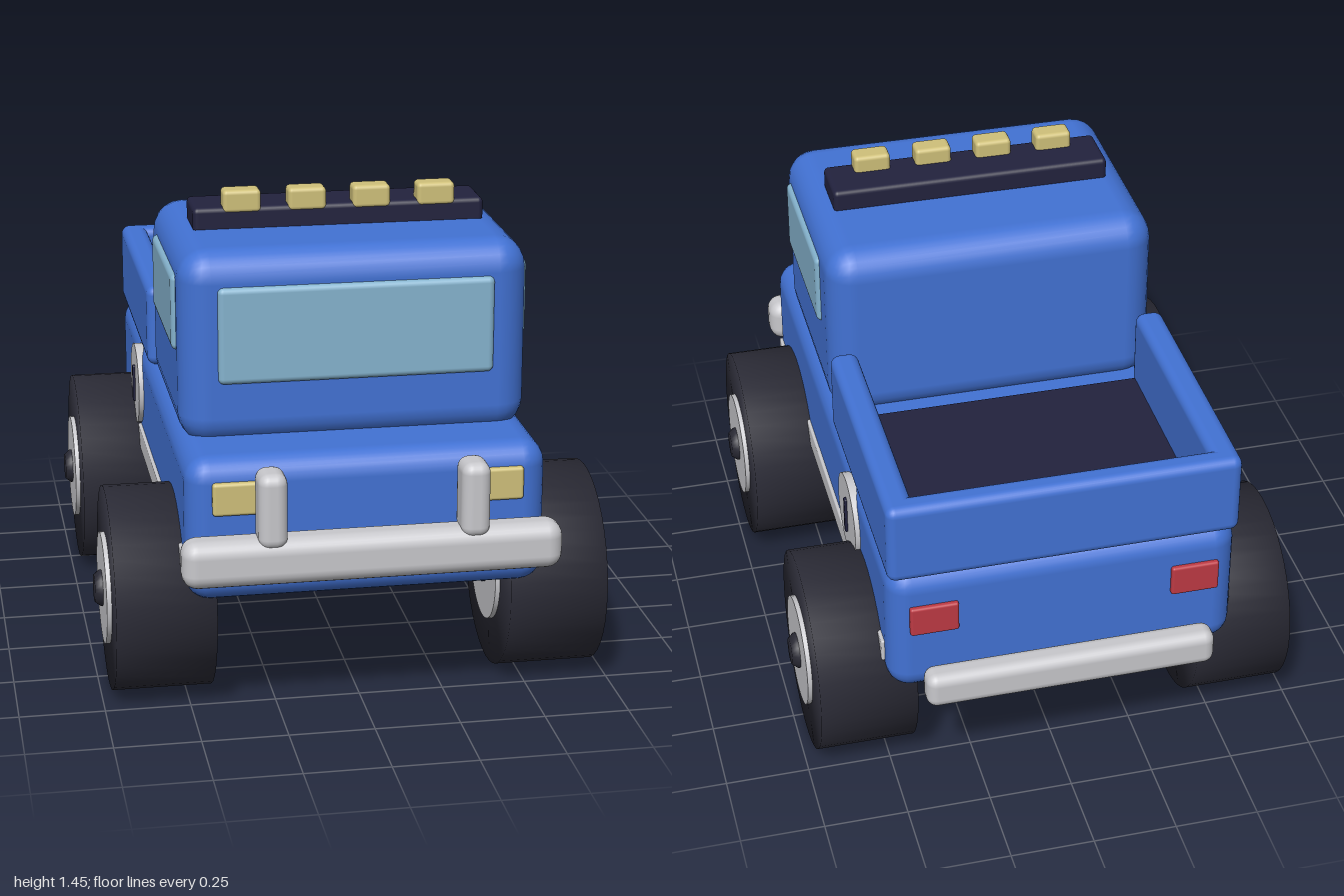
import * as THREE from 'three';
import { mergeVertices } from 'three/addons/utils/BufferGeometryUtils.js';
import { RoundedBoxGeometry } from 'three/addons/geometries/RoundedBoxGeometry.js';

function material(name, color) {
  const m = new THREE.MeshStandardMaterial({ color });
  m.name = name;
  return m;
}

export function createModel() {
  const truck = new THREE.Group();
  truck.name = 'pickupTruck';

  const blue = material('bodyBlue', 0x4272d4);
  const grey = material('lightGrey', 0xc8c8cc);
  const navy = material('darkNavy', 0x22223e);
  const rubber = material('tyreRubber', 0x2b2b36);
  const glass = material('windowBlue', 0x85b3ce);
  const yellow = material('lampYellow', 0xcfc07a);
  const red = material('tailRed', 0xbe3a44);

  // Rounded block given by its limits on each axis
  function block(name, mat, [x0, x1], [y0, y1], [z0, z1], radius) {
    const geo = new RoundedBoxGeometry(x1 - x0, y1 - y0, z1 - z0, 3, radius);
    const mesh = new THREE.Mesh(geo, mat);
    mesh.position.set((x0 + x1) / 2, (y0 + y1) / 2, (z0 + z1) / 2);
    mesh.name = name;
    truck.add(mesh);
    return mesh;
  }

  // The same block on both sides
  function pair(name, mat, [x0, x1], y, z, radius) {
    block(name + 'Left', mat, [x0, x1], y, z, radius);
    block(name + 'Right', mat, [-x1, -x0], y, z, radius);
  }

  // Cylinder lying along x
  function disc(name, mat, radius, x0, x1, y, z, parent) {
    const geo = new THREE.CylinderGeometry(radius, radius, x1 - x0, 40);
    geo.rotateZ(Math.PI / 2);
    const mesh = new THREE.Mesh(geo, mat);
    mesh.position.set((x0 + x1) / 2, y, z);
    mesh.name = name;
    parent.add(mesh);
    return mesh;
  }

  // Body and cab
  block('chassisBody', blue, [-0.52, 0.52], [0.365, 0.795], [-0.895, 0.885], 0.07);
  block('cab', blue, [-0.507, 0.507], [0.76, 1.337], [-0.06, 0.685], 0.09);
  block('windshield', glass, [-0.4, 0.4], [0.955, 1.24], [0.66, 0.7], 0.018);
  pair('sideWindow', glass, [0.48, 0.52], [1.03, 1.255], [0.097, 0.583], 0.018);

  // Open cargo bed
  pair('bedSideWall', blue, [0.435, 0.52], [0.78, 1.035], [-0.897, -0.082], 0.028);
  block('bedBackWall', blue, [-0.52, 0.52], [0.78, 1.035], [-0.9, -0.823], 0.028);
  block('bedFloor', navy, [-0.46, 0.46], [0.77, 0.81], [-0.85, -0.11], 0.008);

  // Roof light bar
  block('roofRack', navy, [-0.43, 0.43], [1.325, 1.4], [0.23, 0.4], 0.015);
  for (const x of [-0.287, -0.095, 0.095, 0.287]) {
    block('roofLamp', yellow, [x - 0.056, x + 0.056], [1.382, 1.45], [0.335, 0.403], 0.013);
  }

  // Bumpers, guards and lamps
  block('frontBumper', grey, [-0.545, 0.545], [0.45, 0.59], [0.887, 1], 0.045);
  pair('bumperGuard', grey, [0.247, 0.33], [0.56, 0.782], [0.887, 1], 0.032);
  pair('headlight', yellow, [0.285, 0.447], [0.635, 0.732], [0.86, 0.9], 0.01);
  block('rearBumper', grey, [-0.432, 0.432], [0.378, 0.49], [-1, -0.915], 0.032);
  pair('tailLight', red, [0.317, 0.46], [0.588, 0.685], [-0.91, -0.87], 0.008);

  // Side trim and slotted badges
  pair('sideTrim', grey, [0.5, 0.53], [0.44, 0.512], [-0.82, 0.825], 0.006);
  for (const s of [-1, 1]) {
    const badge = new THREE.Group();
    badge.name = s > 0 ? 'badgeLeft' : 'badgeRight';
    disc('badgeDisc', grey, 0.128, -0.02, 0.02, 0.64, -0.365, badge);
    badge.position.x = s * 0.515;
    truck.add(badge);
  }
  pair('badgeSlot', navy, [0.5, 0.543], [0.58, 0.7], [-0.375, -0.355], 0.004);

  // Tyre with normals blended over its shoulders
  let tyreGeo = new THREE.CylinderGeometry(0.302, 0.302, 0.29, 40);
  tyreGeo.deleteAttribute('uv');
  tyreGeo.deleteAttribute('normal');
  tyreGeo = mergeVertices(tyreGeo.rotateZ(Math.PI / 2));
  tyreGeo.computeVertexNormals();

  // Hub cap with a chamfered rim at both ends
  const capProfile = [[0, -0.182], [0.04, -0.182], [0.054, -0.165], [0.054, 0.165], [0.04, 0.182], [0, 0.182]]
    .map(([r, y]) => new THREE.Vector2(r, y));
  const capGeo = new THREE.LatheGeometry(capProfile, 24).rotateZ(Math.PI / 2);

  for (const s of [-1, 1]) {
    for (const z of [-0.55, 0.543]) {
      const wheel = new THREE.Group();
      wheel.name = (z > 0 ? 'front' : 'rear') + 'Wheel' + (s > 0 ? 'Left' : 'Right');
      const tyre = new THREE.Mesh(tyreGeo, rubber);
      tyre.name = 'tyre';
      const cap = new THREE.Mesh(capGeo, rubber);
      cap.name = 'hubCap';
      wheel.add(tyre, cap);
      disc('rim', grey, 0.165, -0.159, 0.159, 0, 0, wheel);
      wheel.position.set(s * 0.575, 0.302, z);
      truck.add(wheel);
    }
  }

  return truck;
}
